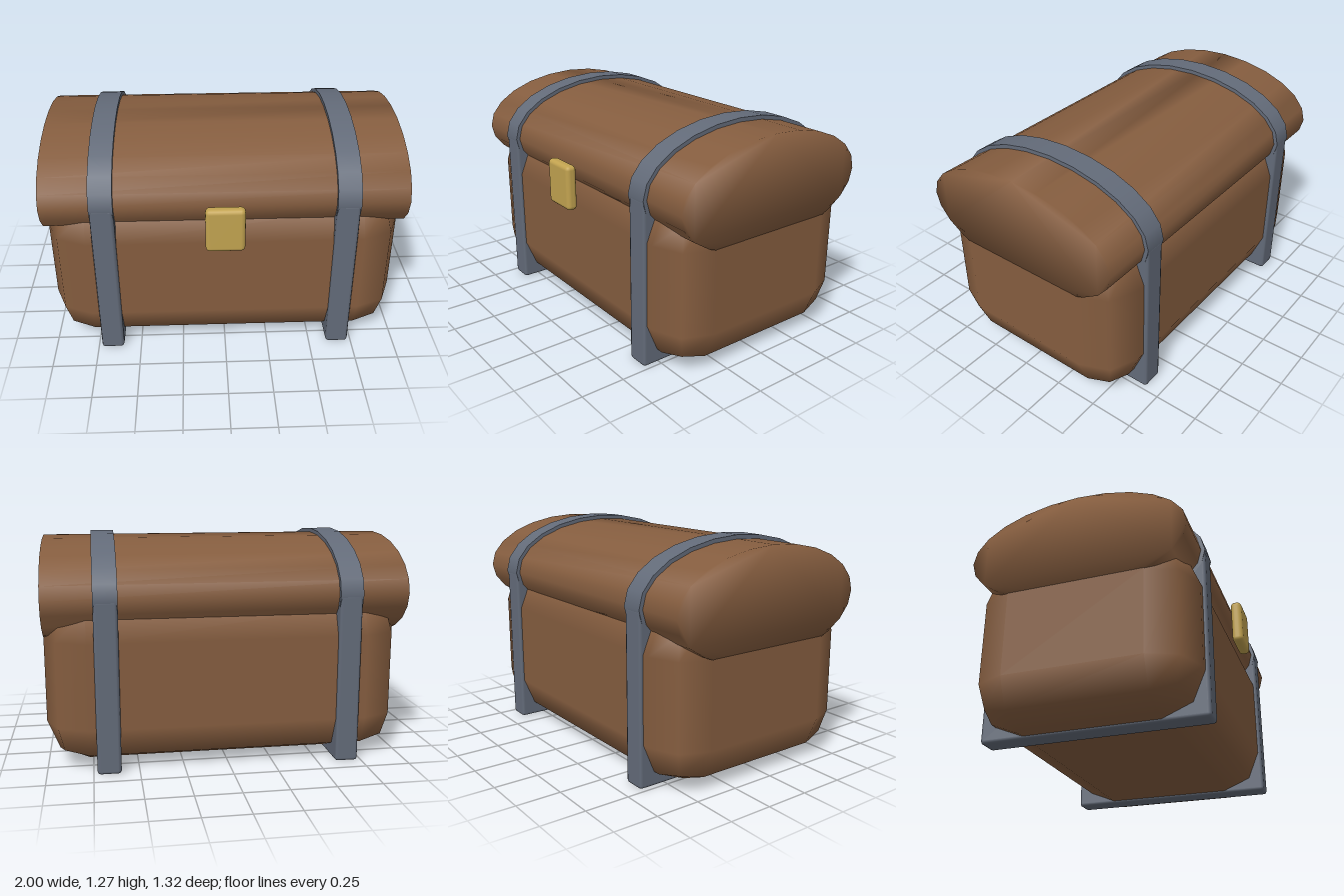
import * as THREE from 'three';
import { mergeVertices } from 'three/addons/utils/BufferGeometryUtils.js';
import { RoundedBoxGeometry } from 'three/addons/geometries/RoundedBoxGeometry.js';

const SIDES = 24;
const CENTER_Z = -0.03;
const LID_Y = 0.95;

function material(name, color) {
  const m = new THREE.MeshStandardMaterial({ color });
  m.name = name;
  return m;
}

function add(group, name, geometry, mat, x, y, z) {
  const mesh = new THREE.Mesh(geometry, mat);
  mesh.name = name;
  mesh.position.set(x, y, z);
  group.add(mesh);
  return mesh;
}

// Elliptical bar along x whose normals blend softly into its end caps
function softBar(length, depthRadius, heightRadius) {
  const points = [];
  for (let i = 0; i < SIDES; i++) {
    const a = (i / SIDES) * Math.PI * 2;
    points.push(new THREE.Vector2(Math.cos(a) * depthRadius, Math.sin(a) * heightRadius));
  }
  let geometry = new THREE.ExtrudeGeometry(new THREE.Shape(points), { depth: length, bevelEnabled: false });
  geometry.translate(0, 0, -length / 2);
  geometry.rotateY(Math.PI / 2);
  geometry.deleteAttribute('normal');
  geometry.deleteAttribute('uv');
  geometry = mergeVertices(geometry, 1e-4);
  geometry.computeVertexNormals();
  return geometry;
}

// Elliptical band along x with crisp rims
function band(width, depthRadius, heightRadius) {
  const geometry = new THREE.CylinderGeometry(1, 1, width, SIDES);
  geometry.rotateZ(Math.PI / 2);
  geometry.scale(1, heightRadius, depthRadius);
  return geometry;
}

export function createModel() {
  const leather = material('brown leather', 0x855d3f);
  const iron = material('grey iron', 0x636b79);
  const brass = material('brass', 0xc2a350);

  const chest = new THREE.Group();
  chest.name = 'chest';

  // Rounded body and domed lid
  add(chest, 'body', new RoundedBoxGeometry(2, 0.935, 1.22, 1, 0.23), leather, 0, 0.4825, CENTER_Z);
  add(chest, 'lid', softBar(1.998, 0.61, 0.3), leather, 0, LID_Y, CENTER_Z);

  // Straps around body and lid
  for (const [side, x] of [['left', 0.665], ['right', -0.665]]) {
    const strap = new THREE.Group();
    strap.name = side + 'Strap';
    add(strap, 'bodyStrap', new RoundedBoxGeometry(0.13, 0.95, 1.26, 1, 0.018), iron, x, 0.475, CENTER_Z);
    add(strap, 'lidStrap', band(0.13, 0.632, 0.323), iron, x, LID_Y, CENTER_Z);
    chest.add(strap);
  }

  // Front clasp
  add(chest, 'clasp', new RoundedBoxGeometry(0.216, 0.262, 0.064, 2, 0.025), brass, -0.003, 0.838, 0.628);

  return chest;
}
